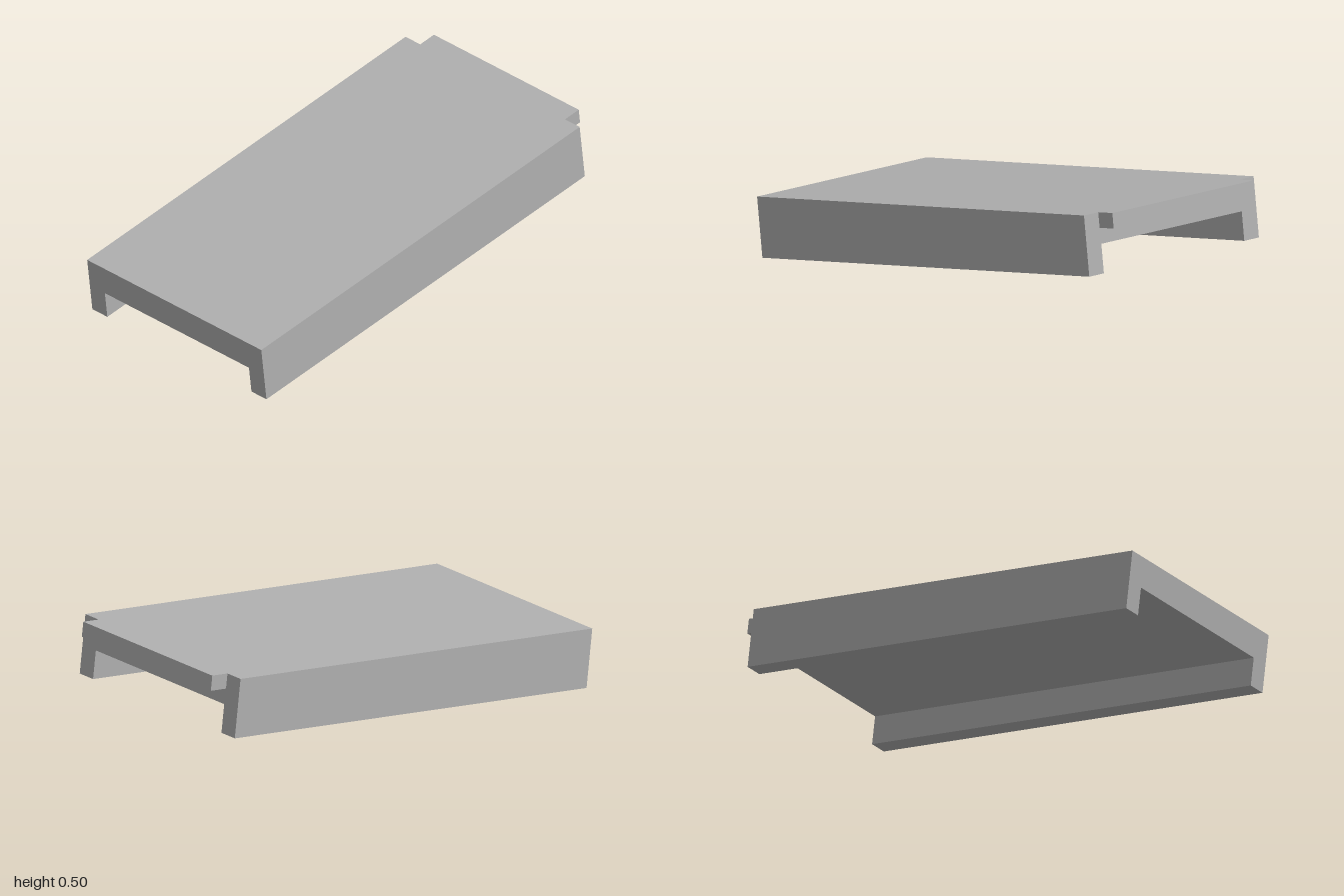
import * as THREE from 'three';

const TILT = 0.1203;        // slope, rising towards the back
const HEIGHT = 0.259;       // full depth of the channel
const LENGTH = 1.924;       // channel length along the slope
const HALF = 0.505;         // half of the width
const INNER = 0.418;        // half of the gap between the side rails
const DECK = 0.134;         // deck thickness
const LIP = { width: 0.84, thick: 0.066, length: 0.083 };

export function createModel() {
  const model = new THREE.Group();
  model.name = 'slopedPanel';
  const grey = new THREE.MeshStandardMaterial({ color: 0xb0b0b0 });
  grey.name = 'grey';

  // Local origin is the top front edge; the panel runs towards -z
  const panel = new THREE.Group();
  panel.name = 'tiltedPanel';
  panel.rotation.x = TILT;
  panel.position.set(0, HEIGHT * Math.cos(TILT), 1);
  model.add(panel);

  // Deck with two side rails, as one channel section
  const section = new THREE.Shape([
    [-HALF, 0], [-HALF, -HEIGHT], [-INNER, -HEIGHT], [-INNER, -DECK],
    [INNER, -DECK], [INNER, -HEIGHT], [HALF, -HEIGHT], [HALF, 0],
  ].map(([x, y]) => new THREE.Vector2(x, y)));
  const channelGeometry = new THREE.ExtrudeGeometry(section, { depth: LENGTH, bevelEnabled: false });
  channelGeometry.translate(0, 0, -LENGTH);
  const channel = new THREE.Mesh(channelGeometry, grey);
  channel.name = 'deckAndSideRails';
  panel.add(channel);

  // Thin tongue at the back, flush with the top of the deck
  const lip = new THREE.Mesh(new THREE.BoxGeometry(LIP.width, LIP.thick, LIP.length), grey);
  lip.name = 'backLip';
  lip.position.set(0, -LIP.thick / 2, -LENGTH - LIP.length / 2);
  panel.add(lip);

  return model;
}
